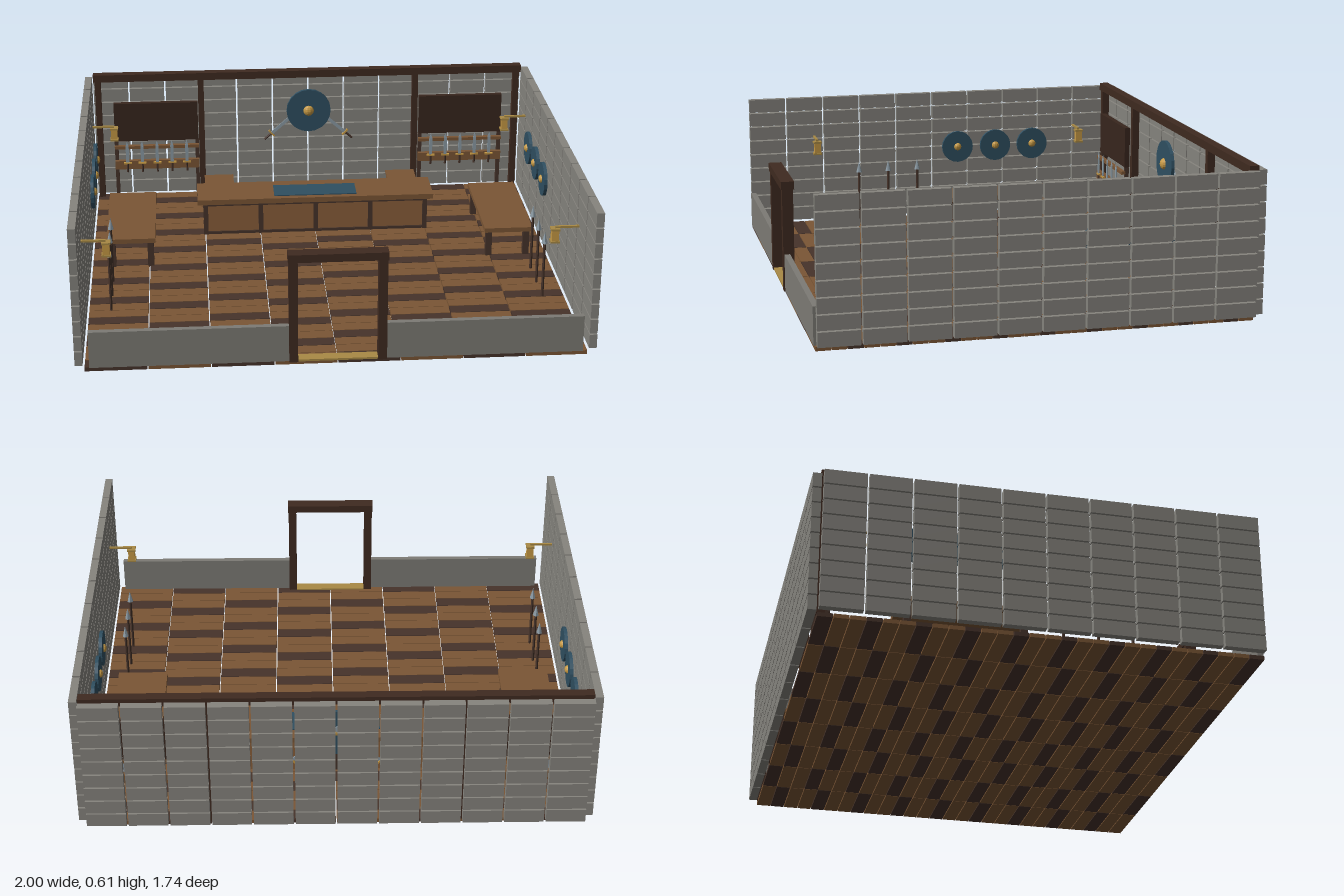
import * as THREE from 'three';

const mat = (color) => new THREE.MeshStandardMaterial({ color, flatShading: true });
const M = {
  stone: mat(0x86847e), lowStone: mat(0x7d7b75), wood: mat(0x7b5635), darkWood: mat(0x46332a),
  timber: mat(0x3f2a20), board: mat(0x38261d), blue: mat(0x2f4f61), gold: mat(0xc79a45),
  steel: mat(0x8c9ba5), panel: mat(0x8a5f3a), straw: mat(0xa98a45),
};

function add(parent, name, geo, material, x = 0, y = 0, z = 0) {
  const m = new THREE.Mesh(geo, material);
  m.name = name;
  m.position.set(x, y, z);
  parent.add(m);
  return m;
}

// Box given by its lower and upper corners
function block(parent, name, material, [x0, y0, z0], [x1, y1, z1]) {
  return add(parent, name, new THREE.BoxGeometry(x1 - x0, y1 - y0, z1 - z0), material,
    (x0 + x1) / 2, (y0 + y1) / 2, (z0 + z1) / 2);
}

function group(parent, name) {
  const g = new THREE.Group();
  g.name = name;
  parent.add(g);
  return g;
}

// Wall of separate bricks running along local x, centred, rising from y = 0.02
function brickWall(parent, name, length, columns, thickness) {
  const wall = group(parent, name);
  const pitch = length / columns, rowPitch = 0.0635;
  const geo = new THREE.BoxGeometry(pitch - 0.008, rowPitch - 0.006, thickness);
  for (let r = 0; r < 9; r++)
    for (let c = 0; c < columns; c++)
      add(wall, 'brick', geo, M.stone, (c + 0.5) * pitch - length / 2, 0.02 + (r + 0.5) * rowPitch, 0);
  return wall;
}

// Round shield facing +z
function shield(parent, r) {
  const s = group(parent, 'shield');
  const disc = add(s, 'shieldDisc', new THREE.CylinderGeometry(r, r, 0.014, 20), M.blue);
  disc.rotation.x = Math.PI / 2;
  const boss = add(s, 'shieldBoss', new THREE.SphereGeometry(r * 0.24, 10, 8), M.gold, 0, 0, 0.007);
  boss.scale.z = 0.7;
  return s;
}

// Sword pointing up, pommel at y = 0
function sword(parent, length) {
  const s = group(parent, 'sword');
  add(s, 'grip', new THREE.CylinderGeometry(0.005, 0.005, 0.04, 6), M.darkWood, 0, 0.02, 0);
  add(s, 'guard', new THREE.BoxGeometry(0.036, 0.007, 0.01), M.gold, 0, 0.043, 0);
  const bladeLength = length - 0.046;
  add(s, 'blade', new THREE.BoxGeometry(0.014, bladeLength * 0.75, 0.005), M.steel, 0, 0.046 + bladeLength * 0.375, 0);
  const tip = add(s, 'bladeTip', new THREE.ConeGeometry(0.01, bladeLength * 0.25, 4, 1, false, Math.PI / 4), M.steel,
    0, 0.046 + bladeLength * 0.875, 0);
  tip.scale.z = 0.35;
  return s;
}

// Lantern with a bracket reaching to the wall on side s
function lantern(parent, s, z) {
  const g = group(parent, 'lantern');
  g.position.set(s * 0.875, 0.375, z);
  add(g, 'lanternBody', new THREE.BoxGeometry(0.028, 0.045, 0.028), M.gold);
  for (const y of [-0.026, 0.026])
    add(g, 'lanternCap', new THREE.BoxGeometry(0.036, 0.008, 0.036), M.straw, 0, y, 0);
  block(g, 'lanternBracket', M.straw, [s > 0 ? 0 : -0.095, 0.03, -0.005], [s > 0 ? 0.095 : 0, 0.038, 0.005]);
}

export function createModel() {
  const model = new THREE.Group();
  model.name = 'armouryRoom';

  // Plank floor
  const floor = group(model, 'floor');
  const cols = 8, rows = 28, pw = 1.93 / cols, pd = 1.69 / rows;
  const plank = new THREE.BoxGeometry(pw - 0.004, 0.016, pd - 0.003);
  for (let r = 0; r < rows; r++)
    for (let c = 0; c < cols; c++)
      add(floor, 'plank', plank, (r + (c % 2)) % 3 === 0 ? M.darkWood : M.wood,
        (c + 0.5) * pw - 0.965, 0.008, 0.855 - (r + 0.5) * pd);

  // Brick walls
  brickWall(model, 'backWall', 1.94, 12, 0.034).position.z = -0.853;
  for (const s of [-1, 1]) {
    const side = brickWall(model, s > 0 ? 'leftWall' : 'rightWall', 1.69, 10, 0.03);
    side.rotation.y = Math.PI / 2;
    side.position.set(s * 0.985, 0, 0.01);
  }

  // Back wall timbers
  block(model, 'topBeam', M.timber, [-0.965, 0.572, -0.838], [0.965, 0.605, -0.8]);
  for (const x of [-0.945, -0.485, 0.485, 0.945])
    block(model, 'backPost', M.timber, [x - 0.013, 0.016, -0.836], [x + 0.013, 0.572, -0.805]);

  // Low front wall and doorway
  for (const s of [-1, 1]) {
    const xs = [s * 0.185, s * 0.945].sort((a, b) => a - b);
    block(model, 'lowFrontWall', M.lowStone, [xs[0], 0.016, 0.835], [xs[1], 0.165, 0.858]);
    block(model, 'doorPost', M.timber, [s * 0.17 - 0.017, 0.012, 0.818], [s * 0.17 + 0.017, 0.435, 0.862]);
  }
  block(model, 'doorLintel', M.timber, [-0.19, 0.43, 0.813], [0.19, 0.462, 0.866]);
  block(model, 'threshold', M.straw, [-0.153, 0.014, 0.815], [0.153, 0.022, 0.86]);

  // Counter with framed panels and cloth
  const counter = group(model, 'counter');
  block(counter, 'counterBody', M.panel, [-0.49, 0.016, -0.515], [0.49, 0.16, -0.355]);
  block(counter, 'counterTop', M.wood, [-0.515, 0.16, -0.53], [0.515, 0.183, -0.335]);
  for (let i = -2; i <= 2; i++)
    block(counter, 'counterDivider', M.darkWood, [i * 0.24 - 0.01, 0.016, -0.522], [i * 0.24 + 0.01, 0.16, -0.347]);
  block(counter, 'counterRail', M.darkWood, [-0.49, 0.148, -0.355], [0.49, 0.16, -0.349]);
  block(counter, 'counterSkirting', M.darkWood, [-0.49, 0.016, -0.355], [0.49, 0.028, -0.349]);
  block(counter, 'cloth', M.blue, [-0.18, 0.183, -0.475], [0.18, 0.187, -0.36]);

  for (const s of [-1, 1]) {
    // Side table on four legs
    const table = group(model, 'sideTable');
    table.position.set(s * 0.798, 0, -0.273);
    block(table, 'tableTop', M.wood, [-0.102, 0.13, -0.252], [0.102, 0.15, 0.252]);
    for (const x of [-0.08, 0.08])
      for (const z of [-0.22, 0.22])
        block(table, 'tableLeg', M.darkWood, [x - 0.013, 0.016, z - 0.013], [x + 0.013, 0.13, z + 0.013]);

    // Crate behind the counter
    const crate = group(model, 'crate');
    crate.position.set(s * 0.413, 0, -0.705);
    block(crate, 'crateBody', M.panel, [-0.06, 0.016, -0.045], [0.06, 0.12, 0.045]);
    block(crate, 'crateLid', M.wood, [-0.065, 0.12, -0.05], [0.065, 0.13, 0.05]);

    // Display board with sword rack below
    const rack = group(model, 'swordRack');
    rack.position.set(s * 0.69, 0, 0);
    block(rack, 'rackBoard', M.board, [-0.188, 0.295, -0.803], [0.188, 0.475, -0.78]);
    for (const [y0, y1] of [[0.165, 0.205], [0.262, 0.276]])
      block(rack, 'rackRail', M.wood, [-0.19, y0, -0.785], [0.19, y1, -0.765]);
    for (const x of [-0.182, 0.182])
      block(rack, 'rackUpright', M.darkWood, [x - 0.008, 0.016, -0.8], [x + 0.008, 0.295, -0.782]);
    for (let i = -2; i <= 2; i++) sword(rack, 0.15).position.set(i * 0.067, 0.155, -0.757);

    // Wall shields
    for (const z of [-0.465, -0.288, -0.108]) {
      const sh = shield(model, 0.072);
      sh.rotation.y = -s * Math.PI / 2;
      sh.position.set(s * 0.951, 0.335, z);
    }

    // Standing spears
    for (const z of [0.1, 0.235, 0.37]) {
      const spear = group(model, 'spear');
      spear.position.set(s * 0.875, 0, z);
      add(spear, 'spearShaft', new THREE.CylinderGeometry(0.006, 0.006, 0.24, 6), M.darkWood, 0, 0.136, 0);
      add(spear, 'spearHead', new THREE.ConeGeometry(0.013, 0.05, 6), M.steel, 0, 0.278, 0);
    }

    for (const z of [-0.67, 0.56]) lantern(model, s, z);

    // Crossed sword behind the large shield
    const crossed = sword(model, 0.33);
    crossed.position.set(s * 0.2, 0.27, -0.822 + s * 0.004);
    crossed.rotation.z = s * 0.85;
  }

  // Large shield on the back wall
  shield(model, 0.1).position.set(0, 0.415, -0.8);

  return model;
}
